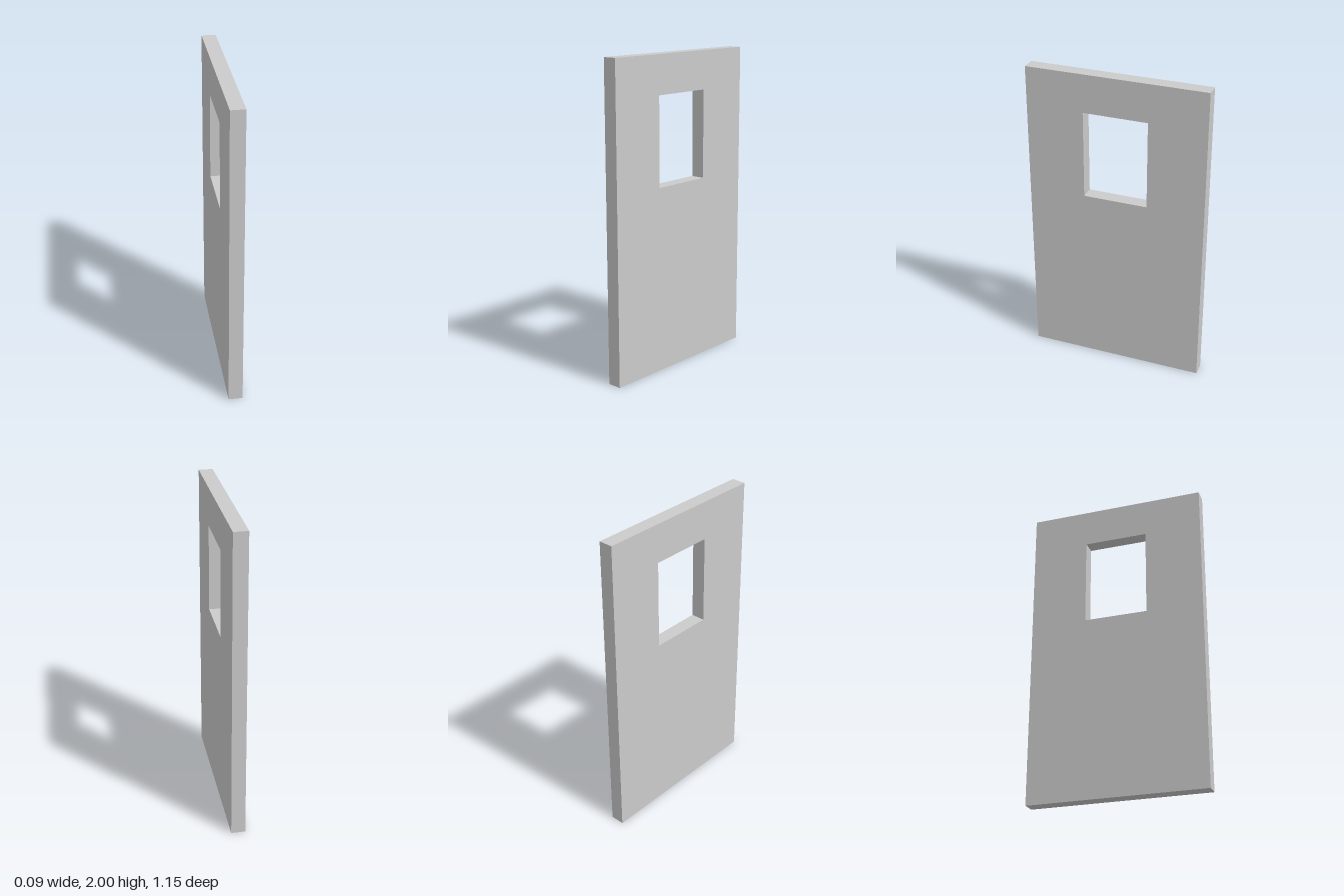
import * as THREE from 'three';

const HEIGHT = 2, HALF_WIDTH = 0.574, THICKNESS = 0.09;
const WINDOW = { halfWidth: 0.206, bottom: 1.19, top: 1.755 };

// Corners of a rectangle centred on the vertical axis
function rectangle(halfWidth, bottom, top) {
  return [[-halfWidth, bottom], [halfWidth, bottom], [halfWidth, top], [-halfWidth, top]]
    .map(([x, y]) => new THREE.Vector2(x, y));
}

export function createModel() {
  const model = new THREE.Group();
  model.name = 'door';

  // Flat door slab with a rectangular window opening through it
  const outline = new THREE.Shape(rectangle(HALF_WIDTH, 0, HEIGHT));
  outline.holes.push(new THREE.Path(rectangle(WINDOW.halfWidth, WINDOW.bottom, WINDOW.top)));
  const geometry = new THREE.ExtrudeGeometry(outline, { depth: THICKNESS, bevelEnabled: false });
  geometry.translate(0, 0, -THICKNESS / 2);
  geometry.rotateY(Math.PI / 2); // the wide faces look along x

  const panel = new THREE.Mesh(geometry, new THREE.MeshStandardMaterial({ color: 0xcccccc }));
  panel.name = 'doorPanel';
  model.add(panel);
  return model;
}
